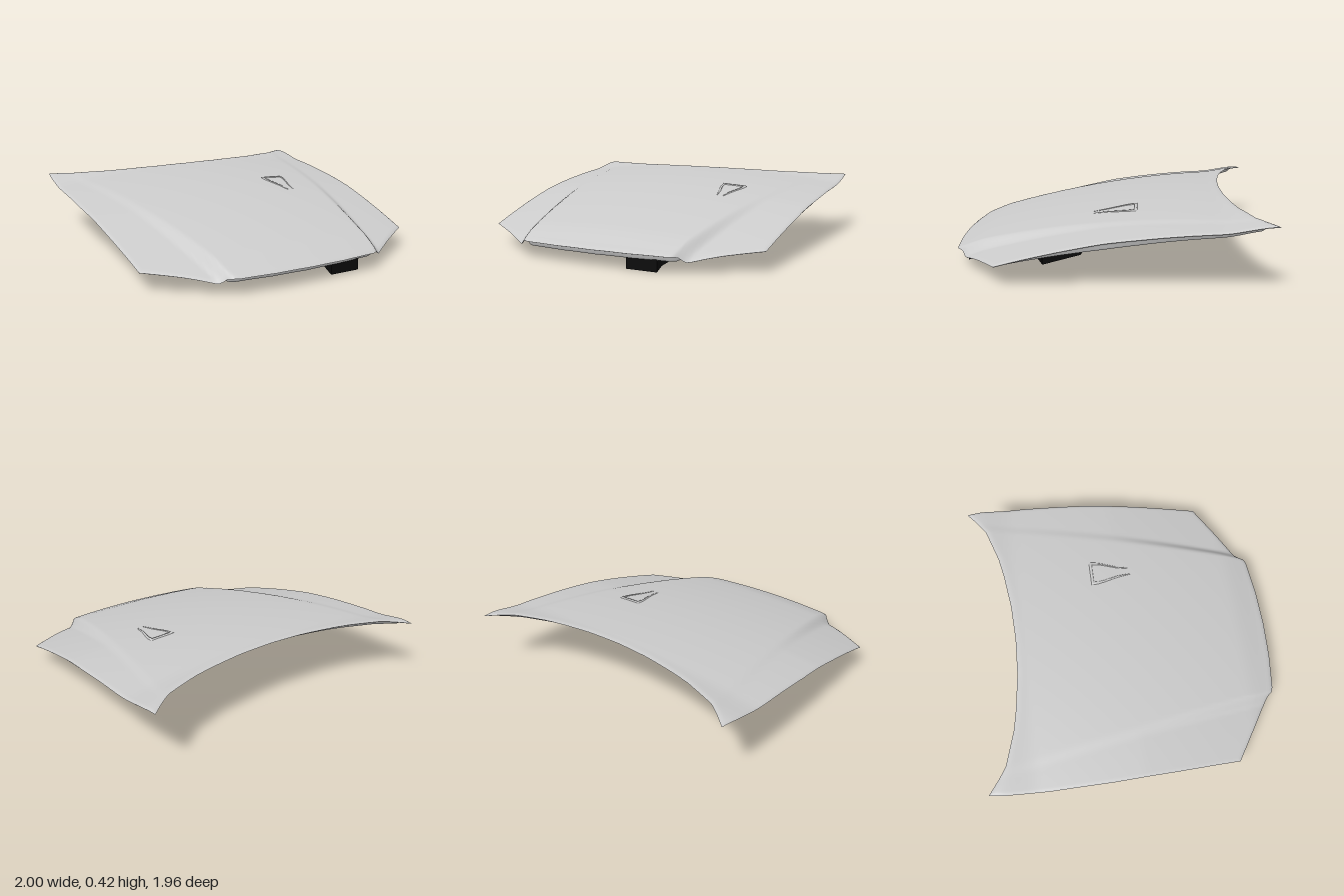
import * as THREE from 'three';

const { lerp, smoothstep } = THREE.MathUtils;

// piecewise linear lookup in [position, value] pairs
function table(pts, t) {
  if (t <= pts[0][0]) return pts[0][1];
  for (let i = 1; i < pts.length; i++) {
    const [a, p] = pts[i - 1], [b, q] = pts[i];
    if (t <= b) return lerp(p, q, (t - a) / (b - a));
  }
  return pts[pts.length - 1][1];
}

// plan outline: front edge, back edge and half width
const FRONT = [[0, 0.98], [0.25, 0.972], [0.5, 0.948], [0.535, 0.935], [0.56, 0.905], [0.6, 0.88], [1, 0.635]];
const BACK = [[0, -0.725], [0.24, -0.735], [0.47, -0.765], [0.6, -0.79], [0.82, -0.86], [0.9, -0.91], [1, -0.98]];
const WIDTH = [[-0.98, 0.98], [-0.88, 0.994], [-0.6, 1], [-0.2, 0.992], [0.2, 0.97], [0.635, 0.94]];

// plain crowned surface shared by both panels
function crownY(x, z) {
  return 0.355 - 0.147 * z - 0.079 * z * z - 0.06 * x * x
    - 0.02 * smoothstep(z, 0.75, 0.98) + 0.03 * smoothstep(-z, 0.66, 0.95);
}

// outer skin: a pair of creases that deepen towards the front
function skinY(x, z) {
  const crease = lerp(0.54, 0.86, (0.9 - z) / 1.75);
  const step = table([[-0.9, 0.003], [0, 0.012], [0.6, 0.045], [0.9, 0.06]], z);
  return crownY(x, z) - step * smoothstep(Math.abs(x), crease - 0.04, crease + 0.03);
}

// inner pan: no creases, hanging below the skin
const panY = (x, z) => crownY(x, z) - table([[-0.85, 0.04], [0, 0.068]], z);

function grid(cols, rows, point, flip = false) {
  const pos = [], index = [];
  for (let j = 0; j < rows; j++) for (let i = 0; i < cols; i++) pos.push(...point(i, j));
  for (let j = 0; j < rows - 1; j++) for (let i = 0; i < cols - 1; i++) {
    const a = j * cols + i, b = a + cols, c = a + 1, d = b + 1;
    if (flip) index.push(a, c, b, c, d, b);
    else index.push(a, b, c, c, b, d);
  }
  const g = new THREE.BufferGeometry();
  g.setAttribute('position', new THREE.Float32BufferAttribute(pos, 3));
  g.setIndex(index);
  g.computeVertexNormals();
  return g;
}

// sample lists, denser beside the edges and at the outline corners
const RIM = [0, 0.005, 0.012, 0.02, 0.03, 0.034, 0.038, 0.042, 0.047, 0.06];
const BACK_SCALE = 0.9, FRONT_SCALE = 1.2;
const half = [0.518, 0.535, 0.548, 0.56, 0.58, 0.6, ...RIM.map(d => 1 - d)];
for (let i = 1; i <= 20; i++) half.push(i * 0.025);
for (let i = 0; i < 16; i++) half.push(0.62 + i * 0.02);
half.sort((a, b) => a - b);
const US = [...half.map(u => -u).reverse(), 0, ...half];
const VS = [...RIM.map(d => d / BACK_SCALE), ...RIM.map(d => 1 - d / FRONT_SCALE)];
for (let i = 0; i < 44; i++) VS.push(0.08 + i * 0.02);
VS.sort((a, b) => a - b);

// sheet over the whole outline; height(x, z, edge) knows the distance to the border
function panel(height, flip) {
  return grid(US.length, VS.length, (i, j) => {
    const u = US[i], v = VS[j], au = Math.abs(u);
    const z = lerp(table(BACK, au), table(FRONT, au), v);
    const x = u * table(WIDTH, z);
    const edge = Math.min(1 - au, v * BACK_SCALE, (1 - v) * FRONT_SCALE);
    return [x, height(x, z, edge), z];
  }, flip);
}

export function createModel() {
  const model = new THREE.Group();
  model.name = 'hood';
  const grey = new THREE.MeshStandardMaterial({ color: 0xcccccc });
  const greyThin = new THREE.MeshStandardMaterial({ color: 0xcccccc, side: THREE.DoubleSide });
  const black = new THREE.MeshStandardMaterial({ color: 0x0a0a0a });
  const add = (name, geometry, material) => {
    const mesh = new THREE.Mesh(geometry, material);
    mesh.name = name;
    model.add(mesh);
  };

  // outer skin with a slightly rolled edge
  const ROLL = [[0, 0.007], [0.005, 0.004], [0.012, 0.001], [0.02, 0]];
  add('outerSkin', panel((x, z, e) => skinY(x, z) - table(ROLL, e), false), grey);

  // inner panel: a flange under the border, then a step down to the pan
  const FLANGE = [[0, 0.007], [0.005, 0.012], [0.03, 0.016]];
  add('innerPanel', panel((x, z, e) =>
    lerp(skinY(x, z) - table(FLANGE, e), panY(x, z), smoothstep(e, 0.028, 0.043)), true), grey);

  // small tapered air scoop: a raised rim, open at its narrow front
  const OUTER = [[-0.185, 0.087], [-0.14, 0.085], [-0.09, 0.072], [0, 0.044], [0.09, 0.026]];
  const INNER = [[-0.165, 0.066], [-0.12, 0.064], [-0.08, 0.053], [0, 0.03], [0.09, 0.018]];
  const n = 14;
  const loop = [];
  for (let i = 0; i <= n; i++) loop.push([-1, 1 - i / n]);
  for (let i = 1; i < 8; i++) loop.push([-1 + i / 4, 0]);
  for (let i = 0; i <= n; i++) loop.push([1, i / n]);
  const HEIGHT = [-0.002, 0.004, 0.006, 0.006, -0.004];
  add('airScoop', grid(loop.length, HEIGHT.length, (i, j) => {
    const [side, t] = loop[i];
    const across = [0, 0.25, 0.55, 0.95, 1][j];
    const z = lerp(lerp(-0.185, -0.165, across), 0.09, t);
    const w = lerp(table(OUTER, lerp(-0.185, 0.09, t)), table(INNER, lerp(-0.165, 0.09, t)), across);
    const x = 0.425 + side * w;
    const fade = 1 - 0.75 * t;
    return [x, skinY(x, z) + HEIGHT[j] * (HEIGHT[j] > 0 ? fade : 1), z];
  }), greyThin);

  // latch bracket below: plan shape stretched between its stepped base and the pan
  const plan = [[0.19, 0.9], [0.39, 0.9], [0.39, 0.84], [0.46, 0.72], [0.48, 0.55], [0.67, 0.42], [0.86, 0.36],
    [0.8, 0.14], [0.6, 0.13], [0.5, 0.33], [0.19, 0.5], [0.19, 0.72], [0.19, 0.84]];
  const BASE = [[0.13, 0.165], [0.42, 0.105], [0.5, 0.125], [0.55, 0.125], [0.72, 0.08], [0.84, 0.025], [0.9, 0]];
  const shape = new THREE.Shape(plan.map(([x, z]) => new THREE.Vector2(x, -z)));
  const bracket = new THREE.ExtrudeGeometry(shape, { depth: 1, bevelEnabled: false });
  bracket.rotateX(-Math.PI / 2);
  const p = bracket.attributes.position;
  for (let i = 0; i < p.count; i++) {
    const x = p.getX(i), z = p.getZ(i);
    p.setY(i, p.getY(i) > 0.5 ? panY(x, z) + 0.01 : table(BASE, z));
  }
  bracket.computeVertexNormals();
  add('latchBracket', bracket, black);

  return model;
}
